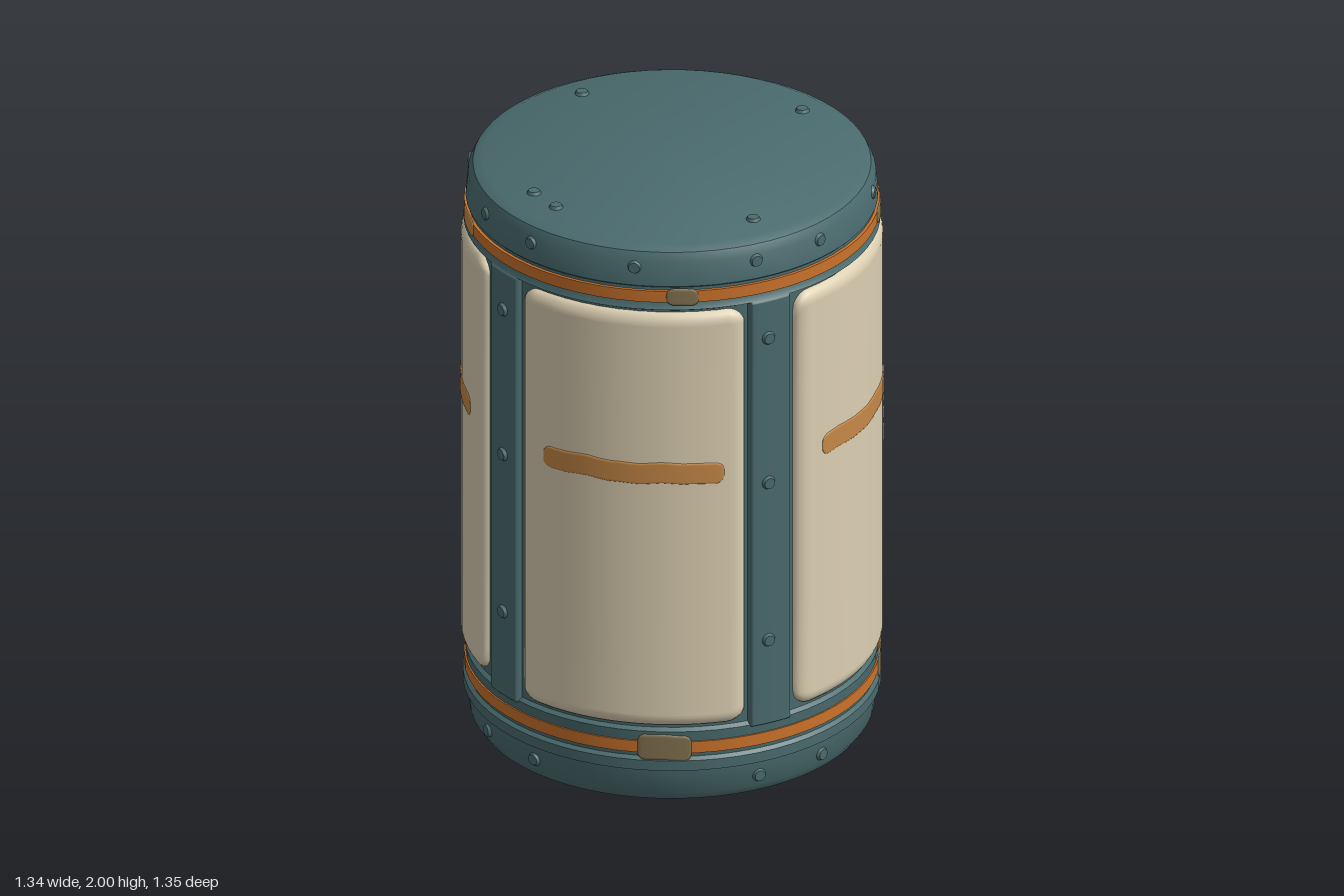
import * as THREE from 'three';
import { toCreasedNormals } from 'three/addons/utils/BufferGeometryUtils.js';

const RAD = Math.PI / 180;

function material(name, color) {
  const m = new THREE.MeshStandardMaterial({ color });
  m.name = name;
  return m;
}

// Sample positions along a side, denser near both ends where it curves.
function samples(length, edge, inner) {
  const ends = [0, 0.08, 0.25, 0.5, 0.75, 1].map((f) => f * edge);
  const out = [...ends];
  for (let i = 1; i < inner; i++) out.push(edge + ((length - 2 * edge) * i) / inner);
  return out.concat(ends.map((e) => length - e).reverse());
}

// Rounded plate wrapped on the barrel; angles in degrees from +z towards +x.
function wrappedPlate(a0, a1, y0, y1, { base, rise, corner, bevel, wave = 0 }) {
  const width = (a1 - a0) * RAD * base;
  const height = y1 - y0;
  const us = samples(width, Math.min(corner, width / 2), 16);
  const vs = samples(1, Math.min(bevel / height, 0.45), 4);
  const geo = new THREE.PlaneGeometry(1, 1, us.length - 1, vs.length - 1);
  const pos = geo.attributes.position;
  vs.forEach((v, iy) => us.forEach((u, ix) => {
    const d = Math.max(0, Math.min(u, width - u));
    const k = Math.max(0, corner - d);
    const inset = corner - Math.sqrt(Math.max(0, corner * corner - k * k));
    const span = height - 2 * inset;
    const wobble = wave * (Math.sin(u * 23 + a0) + 0.6 * Math.sin(u * 51 + a1));
    const y = y1 - inset - v * span + wobble;
    const e = Math.min(1, Math.min(d, v * span, (1 - v) * span) / bevel);
    const r = base + rise * Math.sqrt(Math.max(0, 1 - (1 - e) * (1 - e)));
    const a = a0 * RAD + u / base;
    pos.setXYZ(iy * us.length + ix, r * Math.sin(a), y, r * Math.cos(a));
  }));
  geo.computeVertexNormals();
  return geo;
}

export function createModel() {
  const model = new THREE.Group();
  model.name = 'barrel';
  const teal = material('teal metal', 0x4a6b6e);
  const cream = material('cream panel', 0xdccfb2);
  const orange = material('orange band', 0xcb722b);
  const paint = material('faded orange paint', 0xc68847);
  const worn = material('worn brown', 0x82714f);

  const add = (name, geo, mat, parent = model) => {
    const mesh = new THREE.Mesh(geo, mat);
    mesh.name = name;
    parent.add(mesh);
    return mesh;
  };

  // Drum body with end caps and rims
  const profile = [
    [0, 0.01], [0.58, 0.01], [0.62, 0.025], [0.64, 0.055], [0.647, 0.14],
    [0.662, 0.145], [0.662, 0.18], [0.65, 0.19], [0.655, 0.28], [0.642, 0.29],
    [0.642, 1.775], [0.66, 1.785], [0.648, 1.805], [0.648, 1.86], [0.653, 1.865],
    [0.645, 1.945], [0.63, 1.975], [0.6, 1.99], [0, 1.99],
  ].map(([x, y]) => new THREE.Vector2(x, y));
  add('drumBody', toCreasedNormals(new THREE.LatheGeometry(profile, 64), 0.6), teal);

  // Orange hoops
  for (const [name, y] of [['lowerHoop', 0.225], ['upperHoop', 1.83]]) {
    const hoop = [[0.645, -0.02], [0.658, -0.02], [0.658, 0.02], [0.645, 0.02]]
      .map(([x, dy]) => new THREE.Vector2(x, y + dy));
    add(name, toCreasedNormals(new THREE.LatheGeometry(hoop, 64), 0.6), orange);
  }

  // Cream side panels with a painted stripe each
  const panels = [
    [8.5, 75.5, 17, 69], [91, 172.5, 100, 167], [190, 256.5, 197, 247], [281, 351, 286, 342],
  ];
  for (const [a0, a1, s0, s1] of panels) {
    add('sidePanel', wrappedPlate(a0, a1, 0.3, 1.77,
      { base: 0.638, rise: 0.03, corner: 0.06, bevel: 0.045 }), cream);
    add('paintStripe', wrappedPlate(s0, s1, 1.168, 1.242,
      { base: 0.667, rise: 0.004, corner: 0.028, bevel: 0.008, wave: 0.003 }), paint);
  }
  // Paint drips below one stripe
  for (const [y0, y1] of [[1.11, 1.18], [1.05, 1.09], [0.97, 1.03]]) {
    add('paintDrip', wrappedPlate(146, 147.2, y0, y1,
      { base: 0.667, rise: 0.004, corner: 0.005, bevel: 0.003 }), paint);
  }

  // Upright ribs between the panels
  const ribs = [[-6, 7], [76.5, 89.5], [174, 188.5], [257.5, 268.5], [269.5, 280]];
  for (const [a0, a1] of ribs) {
    add('uprightRib', wrappedPlate(a0, a1, 0.27, 1.79,
      { base: 0.638, rise: 0.026, corner: 0.01, bevel: 0.012 }), teal);
  }

  // Worn patches over the hoops
  const patches = [
    [45, 60, 0.225, 0.045], [137, 155, 0.225, 0.05], [216, 240, 0.225, 0.045],
    [53, 62, 1.83, 0.03], [135, 144, 1.83, 0.03],
  ];
  for (const [a0, a1, y, h] of patches) {
    add('wornPatch', wrappedPlate(a0, a1, y - h, y + h,
      { base: 0.657, rise: 0.005, corner: 0.025, bevel: 0.01, wave: 0.002 }), worn);
  }
  add('rustPatch', wrappedPlate(-30, -18, 1.8, 1.862,
    { base: 0.657, rise: 0.005, corner: 0.025, bevel: 0.01 }), paint);

  // Rivets: axis follows the outward direction
  const rivetGeo = new THREE.CylinderGeometry(0.018, 0.027, 0.018, 14);
  const up = new THREE.Vector3(0, 1, 0);
  const rivet = (name, position, outward) => {
    const m = add(name, rivetGeo, teal);
    m.position.copy(position);
    m.quaternion.setFromUnitVectors(up, outward);
  };
  const sideRivet = (name, angle, y, r) => {
    const out = new THREE.Vector3(Math.sin(angle * RAD), 0, Math.cos(angle * RAD));
    rivet(name, out.clone().multiplyScalar(r).setY(y), out);
  };
  for (const a of [1, 82, 182, 264, 276]) {
    for (const y of [0.575, 1.135, 1.65]) sideRivet('ribRivet', a, y, 0.665);
  }
  for (let i = 0; i < 4; i++) {
    for (const a of [-11, 11, 44]) sideRivet('upperCapRivet', i * 90 + a, 1.925, 0.645);
    for (const a of [-10, 12]) sideRivet('lowerCapRivet', i * 90 + a, 0.09, 0.643);
  }
  for (const [x, z] of [[-0.05, 0.5], [0.07, 0.5], [0.5, 0.04], [-0.52, -0.02], [-0.02, -0.52]]) {
    rivet('lidRivet', new THREE.Vector3(x, 1.991, z), up);
    rivet('baseRivet', new THREE.Vector3(x, 0.009, z), up.clone().negate());
  }
  return model;
}
